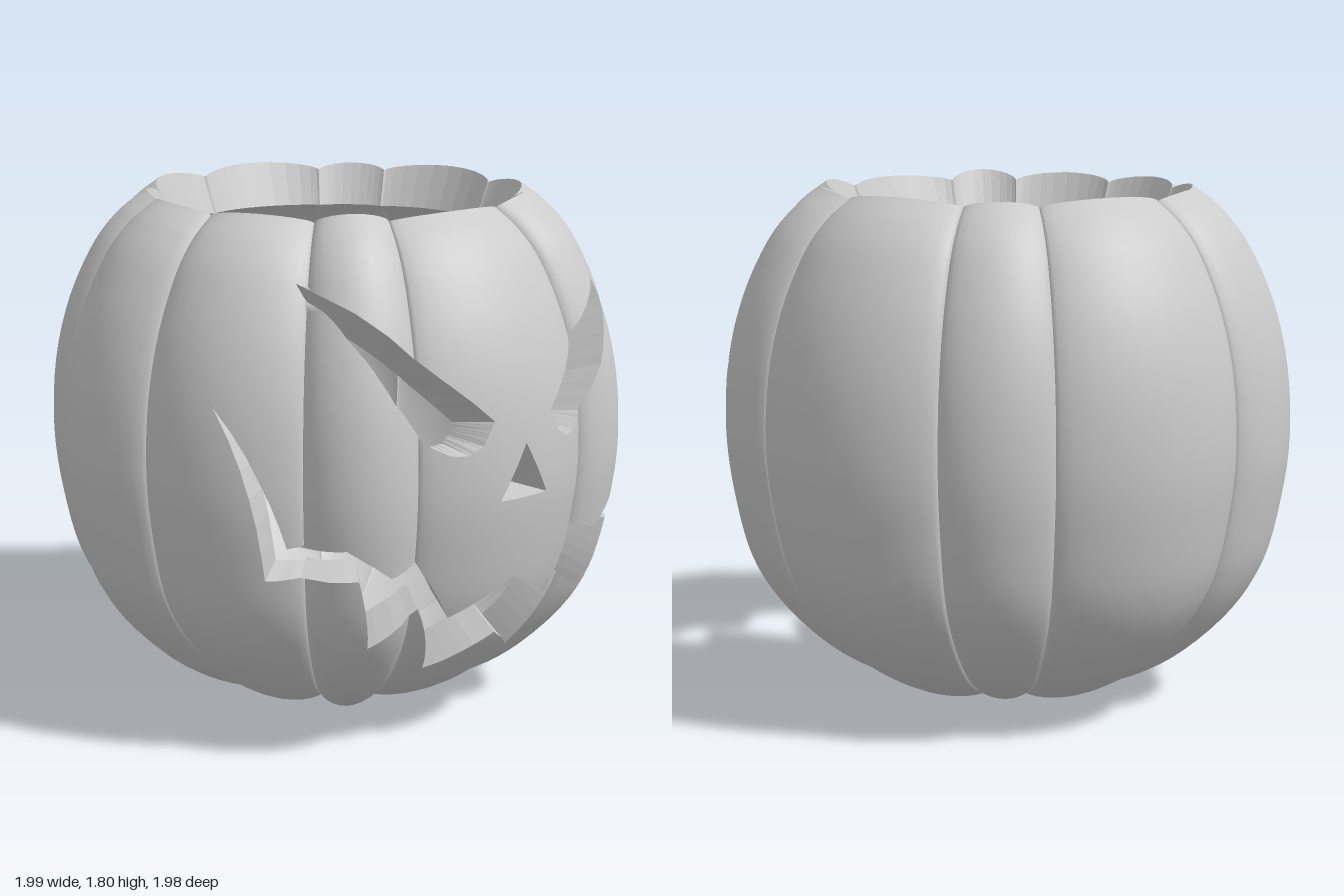
import * as THREE from 'three';

const DEG = Math.PI / 180;
const CY = 0.9;        // height of the widest part
const EDGE_STEPS = 6, LOBE_STEPS = 12;

// Angles of the grooves between the lobes, measured from +z towards +x,
// and how far each lobe swells beyond its grooves
const GROOVES = [-79, -44.5, -22, 22, 44, 78, 124, 147, 191, 225, 247, 281].map(a => a * DEG);
const SWELL = [0.065, 0.085, 0.056, 0.08, 0.068, 0.065, 0.05, 0.066, 0.07, 0.055, 0.065];
const FRONT_LOBES = 5;

// Matching profiles of shell and hollow, from the bottom centre to the rim: radius, height
const curve = pts => new THREE.SplineCurve(pts.map(p => new THREE.Vector2(...p)));
const SHELL = curve([
  [0, 0.06], [0.08, 0.025], [0.2, 0.005], [0.35, 0.025], [0.5, 0.08], [0.66, 0.18], [0.82, 0.34],
  [0.92, 0.51], [0.975, 0.73], [1, 0.95], [0.985, 1.2], [0.93, 1.42], [0.84, 1.61], [0.75, 1.72], [0.655, 1.79],
]);
const HOLLOW = curve([
  [0, 0.19], [0.07, 0.175], [0.18, 0.155], [0.31, 0.16], [0.44, 0.205], [0.57, 0.285], [0.71, 0.42],
  [0.79, 0.57], [0.84, 0.75], [0.865, 0.95], [0.855, 1.17], [0.81, 1.36], [0.735, 1.51], [0.665, 1.585], [0.595, 1.635],
]);
const ROWS = Array.from({ length: 57 }, (_, i) => i / 56);

// Swelling of the lobes: a rounded arch between two sharp grooves
function lobeScale(theta) {
  let a = theta;
  while (a < GROOVES[0]) a += 2 * Math.PI;
  while (a >= GROOVES[0] + 2 * Math.PI) a -= 2 * Math.PI;
  let i = 0;
  while (i < GROOVES.length - 2 && a >= GROOVES[i + 1]) i++;
  const t = Math.min(1, Math.max(0, (a - GROOVES[i]) / (GROOVES[i + 1] - GROOVES[i])));
  return 0.935 + SWELL[i] * Math.pow(Math.sin(Math.PI * t), 0.6);
}

function outer(theta, v) {
  const p = SHELL.getPoint(v), s = lobeScale(theta);
  const sy = 1 - (1 - s) * 0.5 * Math.min(1, p.x / 0.2);
  return new THREE.Vector3(p.x * s * Math.sin(theta), CY + (p.y - CY) * sy, p.x * s * Math.cos(theta));
}

// The hollow follows the shell with softer lobes
function inner(theta, v) {
  const p = HOLLOW.getPoint(v), s = 0.98 + (lobeScale(theta) - 0.98) * 0.6;
  return new THREE.Vector3(p.x * s * Math.sin(theta), p.y, p.x * s * Math.cos(theta));
}

// Finds the surface coordinates (theta, v) lying behind a front-view point
function project([x, y]) {
  let theta = Math.asin(x), v = 0.5;
  for (let k = 0; k < 40; k++) {
    let lo = 0.15, hi = 1;
    for (let j = 0; j < 24; j++) {
      v = (lo + hi) / 2;
      if (outer(theta, v).y < y) lo = v; else hi = v;
    }
    const radius = SHELL.getPoint(v).x * lobeScale(theta);
    theta += 0.5 * (Math.asin(Math.max(-1, Math.min(1, x / radius))) - theta);
  }
  return new THREE.Vector2(theta, Math.round(v * 1000) / 1000);
}

// Turns a front-view outline into a counter-clockwise hole on the surface
function makeHole(points) {
  const hole = [];
  points.forEach((p, i) => {
    const q = points[(i + 1) % points.length];
    for (let k = 0; k < EDGE_STEPS; k++) {
      const t = k / EDGE_STEPS;
      hole.push(project([p[0] + (q[0] - p[0]) * t, p[1] + (q[1] - p[1]) * t]));
    }
  });
  return THREE.ShapeUtils.isClockWise(hole) ? hole.reverse() : hole;
}

// Outlines of the carving; eyes and nose narrow towards the hollow
const mirror = pts => pts.map(([x, y]) => [-x, y]);
const EYE_SIDE = [[0.34, 1.11], [0.45, 1.25], [0.55, 1.45]];
const EYE = [[0.59, 1.6], [0.12, 1.165], [0.165, 1.09], [0.21, 1.065], [0.27, 1.065], ...EYE_SIDE];
const EYE_INNER = [[0.58, 1.55], [0.2, 1.165], [0.215, 1.12], [0.24, 1.09], [0.28, 1.08], ...EYE_SIDE];
const NOSE = [[0, 1.08], [-0.1, 0.9], [0.1, 0.9]];
const NOSE_INNER = [[0, 1.03], [-0.07, 0.905], [0.07, 0.905]];
const UPPER_LIP = [[0.86, 1.23], [0.7, 0.775], [0.59, 0.785], [0.45, 0.68], [0.345, 0.715], [0.215, 0.5]];
const LOWER_LIP = [[0.185, 0.27], [0.31, 0.54], [0.47, 0.42], [0.55, 0.68], [0.745, 0.66]];
const MOUTH = [
  ...UPPER_LIP, [0, 0.62], ...mirror(UPPER_LIP).reverse(),
  ...mirror(LOWER_LIP).reverse(), [0, 0.4], ...LOWER_LIP,
];
const CUTOUTS = [
  ['leftEyeCut', EYE, EYE_INNER], ['rightEyeCut', mirror(EYE), mirror(EYE_INNER)],
  ['noseCut', NOSE, NOSE_INNER], ['mouthCut', MOUTH, MOUTH],
];

// Columns are packed more tightly beside the grooves
function columns(first, last) {
  const cols = [];
  for (let i = first; i < last; i++) {
    for (let k = 0; k < LOBE_STEPS; k++) {
      const t = (1 - Math.cos(Math.PI * k / LOBE_STEPS)) / 2;
      cols.push(GROOVES[i] + (GROOVES[i + 1] - GROOVES[i]) * t);
    }
  }
  return [...cols, GROOVES[last]];
}

// Smooth normal, sampled slightly inside the cell so grooves stay sharp
function normalAt(surface, theta, v, sign) {
  const e = 0.0005, w = Math.min(0.998, Math.max(0.004, v));
  const du = surface(theta + e, w).sub(surface(theta - e, w));
  const dv = surface(theta, w + e).sub(surface(theta, w - e));
  return du.cross(dv).normalize().multiplyScalar(sign);
}

// Fills the surface row by row, leaving out the spans inside holes
function addSheet(out, surface, sign, cols, rows, holes) {
  const edges = holes.flatMap(h => h.map((p, i) => [p, h[(i + 1) % h.length]]));
  const start = cols[0], end = cols[cols.length - 1];
  for (let r = 0; r < rows.length - 1; r++) {
    const v0 = rows[r], v1 = rows[r + 1], mid = (v0 + v1) / 2;
    const cuts = edges
      .filter(([p, q]) => (p.y < mid) !== (q.y < mid))
      .map(([p, q]) => [v0, v1].map(v => p.x + (q.x - p.x) * (v - p.y) / (q.y - p.y)))
      .sort((a, b) => a[0] + a[1] - b[0] - b[1]);
    const bounds = [[start, start], ...cuts, [end, end]];
    for (let b = 0; b < bounds.length; b += 2) {
      const [l, h] = [bounds[b], bounds[b + 1]];
      const at = (c, k) => Math.min(h[k], Math.max(l[k], c));
      for (let c = 0; c < cols.length - 1; c++) {
        const quad = [[at(cols[c], 0), v0], [at(cols[c + 1], 0), v0], [at(cols[c + 1], 1), v1], [at(cols[c], 1), v1]];
        const wide0 = quad[1][0] - quad[0][0] > 1e-7, wide1 = quad[2][0] - quad[3][0] > 1e-7;
        if (!wide0 && !wide1) continue;
        const centre = (cols[c] + cols[c + 1]) / 2;
        const corners = quad.map(([t, v]) => [surface(t, v), normalAt(surface, t + (centre - t) * 0.08, v, sign)]);
        const tris = [];
        if (wide0) tris.push([0, 1, 2]);
        if (wide1) tris.push([0, 2, 3]);
        for (const tri of tris) {
          for (const i of sign > 0 ? tri : tri.reverse()) {
            out.position.push(...corners[i][0].toArray());
            out.normal.push(...corners[i][1].toArray());
          }
        }
      }
    }
  }
}

function makeMesh(name, position, normal) {
  const geometry = new THREE.BufferGeometry();
  geometry.setAttribute('position', new THREE.Float32BufferAttribute(position, 3));
  if (normal) geometry.setAttribute('normal', new THREE.Float32BufferAttribute(normal, 3));
  else geometry.computeVertexNormals();
  const mesh = new THREE.Mesh(geometry, new THREE.MeshStandardMaterial({ color: 0xcccccc }));
  mesh.name = name;
  return mesh;
}

// Cut face joining a line on the shell to a line on the hollow
function makeWall(name, shellLine, hollowLine, closed) {
  const position = [], n = shellLine.length;
  for (let i = 0; i < (closed ? n : n - 1); i++) {
    const j = (i + 1) % n;
    const [p, q] = [shellLine[i], shellLine[j]].map(a => outer(a.x, a.y));
    const [s, r] = [hollowLine[i], hollowLine[j]].map(a => inner(a.x, a.y));
    for (const c of [p, q, r, p, r, s]) position.push(...c.toArray());
  }
  return makeMesh(name, position);
}

export function createModel() {
  const group = new THREE.Group();
  group.name = 'carvedPumpkin';

  const shellHoles = CUTOUTS.map(c => makeHole(c[1])), hollowHoles = CUTOUTS.map(c => makeHole(c[2]));
  const front = columns(0, FRONT_LOBES), back = columns(FRONT_LOBES, GROOVES.length - 1);

  // Outer shell and hollow, with the face only in the front lobes
  for (const [name, surface, sign, holes] of [['shell', outer, 1, shellHoles], ['hollow', inner, -1, hollowHoles]]) {
    const out = { position: [], normal: [] };
    const frontRows = [...new Set([...ROWS, ...holes.flat().map(p => p.y)])].sort((a, b) => a - b);
    addSheet(out, surface, sign, front, frontRows, holes);
    addSheet(out, surface, sign, back, ROWS, []);
    group.add(makeMesh(name, out.position, out.normal));
  }

  // Cut faces of the carving and of the open top
  CUTOUTS.forEach(([name], i) => group.add(makeWall(name, shellHoles[i], hollowHoles[i], true)));
  const rim = [...front, ...back.slice(1)].map(t => new THREE.Vector2(t, 1));
  group.add(makeWall('rim', rim, rim, false));
  return group;
}
